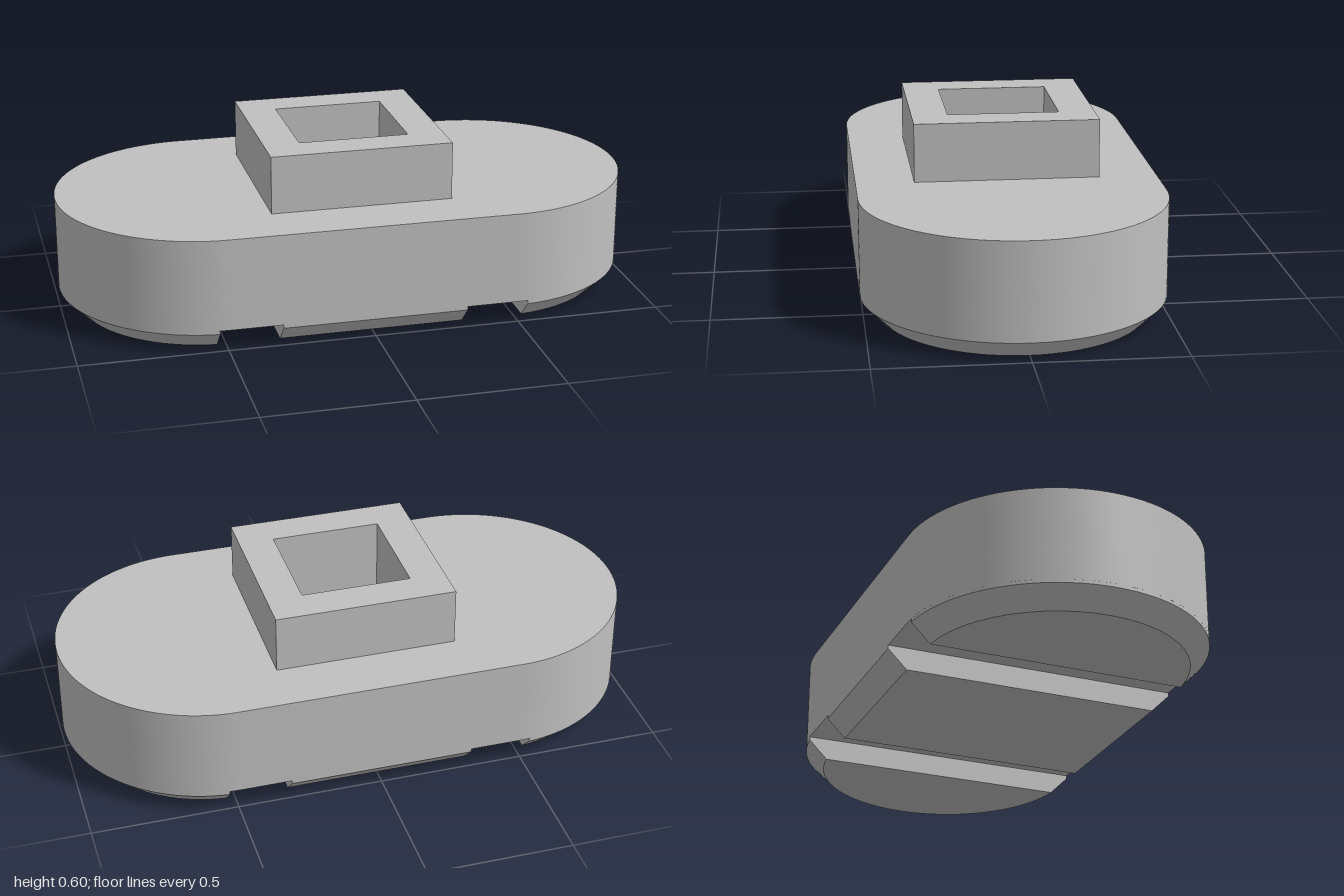
import * as THREE from 'three';
import { toCreasedNormals } from 'three/addons/utils/BufferGeometryUtils.js';

const R = 0.51, CX = 0.49;            // end radius and end centre
const CHAMFER = 0.065, GROOVE_TOP = 0.077;
const GROOVE_IN = 0.317, GROOVE_OUT = 0.53;
const FLOOR = 0.2, BODY_TOP = 0.395, BOSS_TOP = 0.595;
const BOSS = 0.313, HOLE = 0.19;      // half widths

const squarePoints = (h) => [[-h, -h], [h, -h], [h, h], [-h, h]].map(([x, y]) => new THREE.Vector2(x, y));

function stadium() {
  const s = new THREE.Shape();
  s.moveTo(-CX, -R);
  s.lineTo(CX, -R);
  s.absarc(CX, 0, R, -Math.PI / 2, Math.PI / 2, false);
  s.absarc(-CX, 0, R, Math.PI / 2, Math.PI * 1.5, false);
  return s;
}

// Upright extrusion between two heights
function slab(shape, y0, y1) {
  const g = new THREE.ExtrudeGeometry(shape, { depth: y1 - y0, bevelEnabled: false, curveSegments: 48 });
  g.rotateX(-Math.PI / 2).translate(0, y0, 0);
  return toCreasedNormals(g, 0.4);
}

// Skin over stacked convex outlines of [x, z], closed underneath
function loft(rings, heights) {
  const pos = [];
  const n = rings[0].length;
  const at = (k, i) => [rings[k][i % n][0], heights[k], rings[k][i % n][1]];
  const mid = [0, 1].map((a) => rings[0].reduce((t, p) => t + p[a], 0) / n);
  for (let i = 0; i < n; i++) {
    pos.push(mid[0], heights[0], mid[1], ...at(0, i), ...at(0, i + 1));
    for (let k = 0; k < rings.length - 1; k++) {
      pos.push(...at(k, i), ...at(k + 1, i), ...at(k + 1, i + 1));
      pos.push(...at(k, i), ...at(k + 1, i + 1), ...at(k, i + 1));
    }
  }
  const g = new THREE.BufferGeometry();
  g.setAttribute('position', new THREE.Float32BufferAttribute(pos, 3));
  return toCreasedNormals(g, 0.4);
}

// Rounded end outline, cut straight at the groove
function endRing(r) {
  const a = Math.acos((GROOVE_OUT - CX) / r);
  return Array.from({ length: 49 }, (_, i) => {
    const t = -a + (2 * a * i) / 48;
    return [CX + r * Math.cos(t), r * Math.sin(t)];
  });
}

const middleRing = (r) => [[GROOVE_IN, -r], [GROOVE_IN, r], [-GROOVE_IN, r], [-GROOVE_IN, -r]];

export function createModel() {
  const group = new THREE.Group();
  const grey = new THREE.MeshStandardMaterial({ color: 0xc0c0c0 });
  grey.name = 'light grey';
  const add = (name, geometry) => {
    const m = new THREE.Mesh(geometry, grey);
    m.name = name;
    group.add(m);
    return m;
  };

  // Oblong body: solid base, then the part around the square socket
  add('bodyBase', slab(stadium(), GROOVE_TOP, FLOOR));
  const upper = stadium();
  upper.holes.push(new THREE.Path(squarePoints(HOLE)));
  add('bodyUpper', slab(upper, FLOOR, BODY_TOP));

  // Square boss with the socket running through it
  const boss = new THREE.Shape(squarePoints(BOSS));
  boss.holes.push(new THREE.Path(squarePoints(HOLE)));
  add('socketBoss', slab(boss, BODY_TOP, BOSS_TOP));

  // Chamfered feet, separated by two cross grooves
  const heights = [0, CHAMFER, GROOVE_TOP];
  const radii = [R - CHAMFER, R, R];
  add('middleFoot', loft(radii.map(middleRing), heights));
  const endFoot = loft(radii.map(endRing), heights);
  add('leftFoot', endFoot);
  add('rightFoot', endFoot).rotation.y = Math.PI;

  return group;
}
